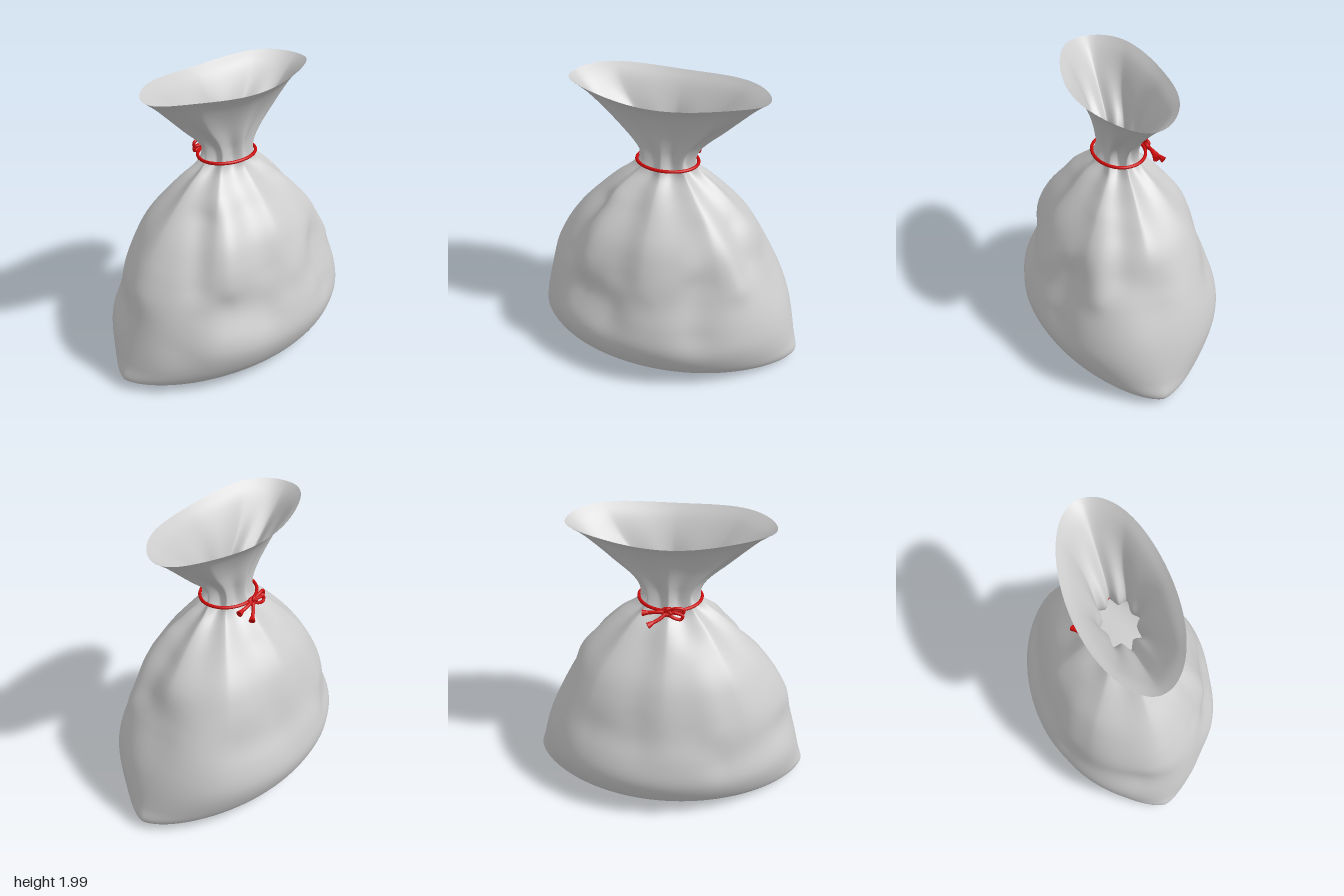
import * as THREE from 'three';

const V = (x, y, z) => new THREE.Vector3(x, y, z);

// Cross-sections from base centre to rim:
// [height, half width, half depth, corner pinch, pleat depth]
const SECTIONS = [
  [0.03, 0.0, 0.0, 0.1, 0], [0.024, 0.35, 0.18, 0.15, 0], [0.016, 0.66, 0.34, 0.25, 0],
  [0.032, 0.88, 0.44, 0.35, 0], [0.08, 0.975, 0.535, 0.32, 0], [0.19, 0.95, 0.625, 0.12, 0],
  [0.35, 0.91, 0.68, -0.03, 0], [0.52, 0.86, 0.655, -0.1, 0], [0.7, 0.8, 0.59, -0.12, 0.01],
  [0.9, 0.7, 0.53, -0.1, 0.025], [1.05, 0.61, 0.465, -0.06, 0.045], [1.2, 0.475, 0.355, 0, 0.08],
  [1.32, 0.35, 0.25, 0, 0.14], [1.4, 0.25, 0.17, 0, 0.21], [1.46, 0.205, 0.148, 0, 0.26],
  [1.53, 0.207, 0.143, 0, 0.25], [1.61, 0.26, 0.151, 0, 0.18], [1.72, 0.38, 0.173, 0, 0.11],
  [1.83, 0.495, 0.213, 0, 0.05], [1.92, 0.59, 0.263, 0, 0.02], [1.985, 0.67, 0.322, 0, 0],
];

// Soft ridges (+) and dents (-) along a line: [from, to, radius, amount]
const FOLDS = [
  // front left: ridge, the valley outside it, and the large dent below
  [V(-0.25, 1.26, 0.26), V(-0.45, 0.78, 0.5), 0.09, 0.025],
  [V(-0.42, 1.15, 0.2), V(-0.64, 0.82, 0.36), 0.1, -0.035],
  [V(-0.45, 0.6, 0.52), V(-0.25, 0.56, 0.6), 0.17, -0.055],
  [V(-0.12, 1.2, 0.35), V(-0.15, 0.85, 0.52), 0.12, -0.02],
  // front right: dent, cross ridge, long ridge with its outer valley
  [V(0.42, 0.5, 0.57), V(0.42, 0.8, 0.48), 0.15, -0.04],
  [V(0.1, 0.76, 0.57), V(0.3, 0.92, 0.47), 0.11, 0.015],
  [V(0.36, 1.22, 0.22), V(0.62, 0.78, 0.34), 0.09, 0.025],
  [V(0.52, 1.1, 0.12), V(0.64, 0.9, 0.18), 0.1, -0.02],
  // sides
  [V(0.78, 0.72, 0), V(0.76, 0.78, 0), 0.2, -0.05],
  [V(-0.8, 0.74, 0), V(-0.76, 0.85, 0), 0.18, 0.03],
  [V(-0.78, 0.4, 0.38), V(-0.68, 0.58, 0.42), 0.18, -0.035],
  // back
  [V(-0.45, 0.5, -0.56), V(-0.85, 0.56, -0.2), 0.14, -0.035],
  [V(0.2, 0.63, -0.6), V(0.5, 0.65, -0.5), 0.16, -0.025],
  [V(-0.2, 1.2, -0.33), V(-0.35, 0.75, -0.52), 0.12, 0.02],
  [V(0.12, 1.2, -0.33), V(0.2, 0.85, -0.52), 0.12, -0.015],
];

function foldOffset(p) {
  const near = V(0, 0, 0);
  let sum = 0;
  for (const [a, b, radius, amount] of FOLDS) {
    new THREE.Line3(a, b).closestPointToPoint(p, true, near);
    sum += amount * Math.exp(-near.distanceToSquared(p) / (radius * radius));
  }
  return sum;
}

function sackGeometry(rows = 130, cols = 192) {
  const size = new THREE.CatmullRomCurve3(SECTIONS.map(s => V(s[1], s[0], s[2])), false, 'catmullrom', 0.5);
  const style = new THREE.CatmullRomCurve3(SECTIONS.map(s => V(s[3], s[4], 0)), false, 'catmullrom', 0.5);
  const pos = [], index = [];
  for (let i = 0; i <= rows; i++) {
    const t = i / rows;
    const r = size.getPoint(t), st = style.getPoint(t);
    const rimWave = 0.07 * THREE.MathUtils.smoothstep(r.y, 1.75, 1.98);
    const baseWave = 0.01 * (1 - THREE.MathUtils.smoothstep(r.y, 0.03, 0.1));
    for (let j = 0; j < cols; j++) {
      const angle = (j / cols) * Math.PI * 2;
      const c = Math.cos(angle), s = Math.sin(angle);
      const pleat = 1 - st.y * Math.pow(Math.abs(Math.sin(angle * 4)), 1.3);
      const p = V(
        r.x * c * pleat,
        r.y + rimWave * s * s * (1 - 1.18 * s * s),
        -r.z * Math.sign(s) * Math.pow(Math.abs(s), 1 + st.x) * pleat
      );
      // Gentle unevenness of the base
      p.y += baseWave * Math.sin(5 * p.x + 0.3) * Math.cos(4 * p.z);
      const len = Math.hypot(p.x, p.z);
      if (len > 0.01 && p.y > 0.06) {
        const k = 1 + foldOffset(p) / len;
        p.x *= k;
        p.z *= k;
      }
      pos.push(p.x, p.y, p.z);
      if (i < rows) {
        const n = (j + 1) % cols, a = i * cols, b = a + cols;
        index.push(a + j, a + n, b + n, a + j, b + n, b + j);
      }
    }
  }
  const g = new THREE.BufferGeometry();
  g.setAttribute('position', new THREE.Float32BufferAttribute(pos, 3));
  g.setIndex(index);
  g.computeVertexNormals();
  return g;
}

export function createModel() {
  const group = new THREE.Group();
  const cloth = new THREE.MeshStandardMaterial({ color: 0xcccccc, side: THREE.DoubleSide });
  const red = new THREE.MeshStandardMaterial({ color: 0xcc0a0a });

  const add = (name, geometry, material) => {
    const mesh = new THREE.Mesh(geometry, material);
    mesh.name = name;
    group.add(mesh);
    return mesh;
  };
  const cord = (name, points, closed = false, radius = 0.011) =>
    add(name, new THREE.TubeGeometry(new THREE.CatmullRomCurve3(points, closed), 64, radius, 10, closed), red);

  add('sack', sackGeometry(), cloth);

  // Cord around the neck, drawn towards the knot at the back
  const ring = [];
  for (let i = 0; i < 24; i++) {
    const a = (i / 24) * Math.PI * 2, s = Math.sin(a);
    ring.push(V(0.21 * Math.cos(a), 1.458 + 0.004 * s, (s < 0 ? 0.185 : 0.165) * s));
  }
  cord('neckCord', ring, true);

  // Knot and bow
  const knot = add('knot', new THREE.TorusKnotGeometry(0.02, 0.012, 64, 8), red);
  knot.position.set(0, 1.46, -0.208);
  cord('upperLoop', [V(0, 1.46, -0.205), V(-0.05, 1.495, -0.22), V(-0.1, 1.49, -0.215),
    V(-0.105, 1.465, -0.215), V(-0.05, 1.455, -0.21)], true);
  cord('lowerLoop', [V(0, 1.455, -0.205), V(-0.04, 1.43, -0.225), V(-0.09, 1.42, -0.225),
    V(-0.1, 1.445, -0.22), V(-0.05, 1.46, -0.215)], true);

  // Loose tails with flared ends
  const tails = [
    ['lowerTail', V(0.04, 1.43, -0.24), V(0.1, 1.405, -0.275)],
    ['upperTail', V(0.06, 1.46, -0.215), V(0.14, 1.45, -0.215)],
  ];
  for (const [name, mid, end] of tails) {
    cord(name, [V(0, 1.46, -0.205), mid, end], false, 0.012);
    const tip = add(name + 'Tip', new THREE.CylinderGeometry(0.022, 0.011, 0.045, 12), red);
    tip.position.copy(end);
    tip.quaternion.setFromUnitVectors(V(0, 1, 0), end.clone().sub(mid).normalize());
  }
  return group;
}
